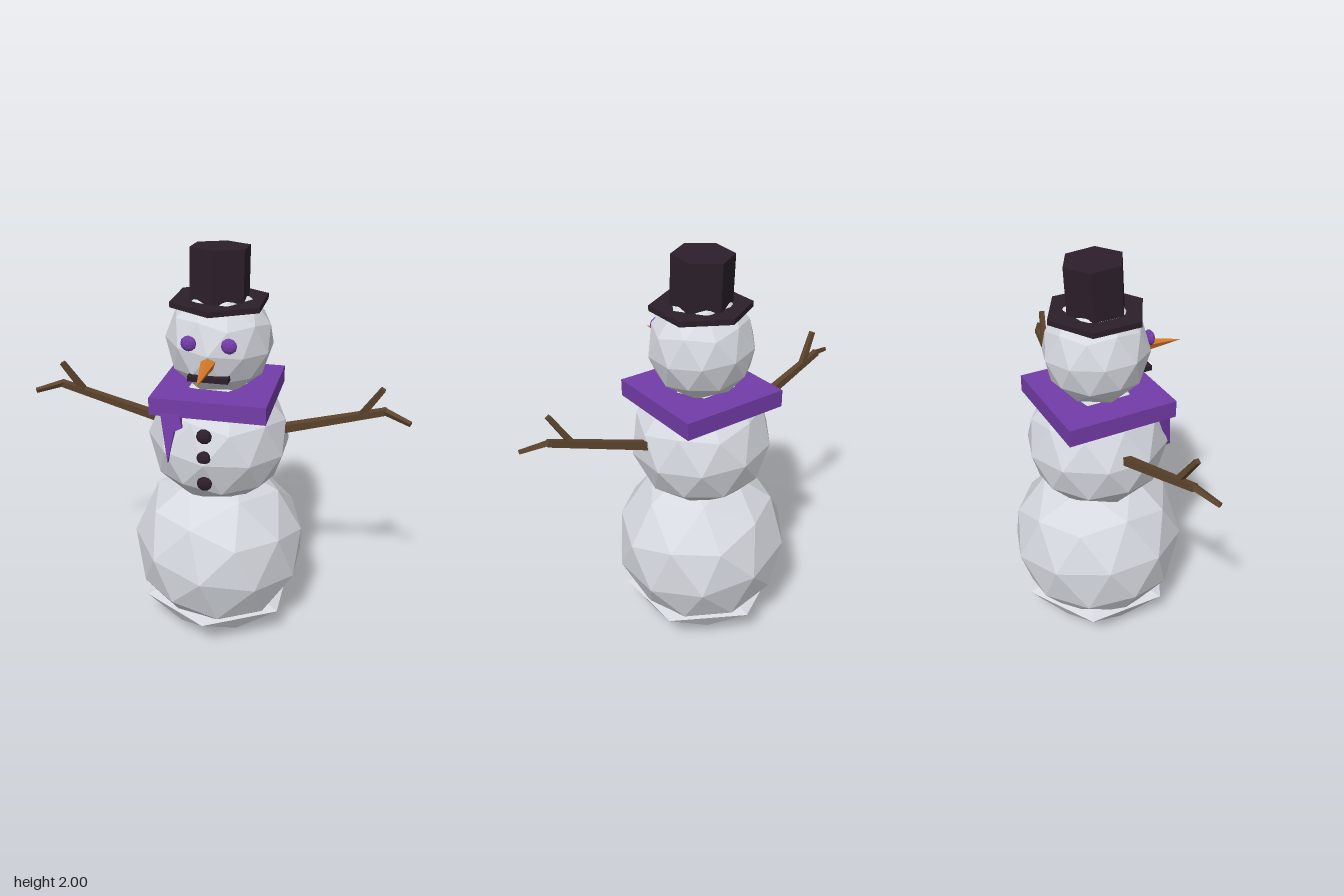
import * as THREE from 'three';

const mat = (name, color) => {
  const m = new THREE.MeshStandardMaterial({ color });
  m.name = name;
  return m;
};

// Faceted normals for the low-poly look
const flat = (geo) => {
  const g = geo.index ? geo.toNonIndexed() : geo;
  g.computeVertexNormals();
  return g;
};

// Icosphere with a corner at the top
const ball = (r, ry, rz, tilt = 0) => {
  const g = new THREE.IcosahedronGeometry(1, 1);
  g.rotateX(-Math.atan((1 + Math.sqrt(5)) / 2)).rotateY(Math.PI / 2).rotateZ(tilt);
  return flat(g.scale(r, ry, rz));
};

// Four-sided tapered stick between two points
const stick = (a, b, r0, r1) => {
  const from = new THREE.Vector3(...a), to = new THREE.Vector3(...b);
  const dir = to.clone().sub(from);
  const g = new THREE.CylinderGeometry(r1, r0, dir.length(), 4);
  g.rotateY(Math.PI / 4);
  g.applyQuaternion(new THREE.Quaternion().setFromUnitVectors(new THREE.Vector3(0, 1, 0), dir.normalize()));
  const c = from.add(to).multiplyScalar(0.5);
  return flat(g.translate(c.x, c.y, c.z));
};

export function createModel() {
  const model = new THREE.Group();
  model.name = 'snowman';
  const snow = mat('snow', 0xd6d9e0);
  const black = mat('charcoal', 0x2c1f2b);
  const purple = mat('purple', 0x733ca8);
  const orange = mat('orange', 0xd87a2c);
  const wood = mat('wood', 0x5c442d);

  const add = (name, geo, material, x = 0, y = 0, z = 0, parent = model) => {
    const m = new THREE.Mesh(geo, material);
    m.name = name;
    m.position.set(x, y, z);
    parent.add(m);
    return m;
  };

  // Snow mound: faceted bowl whose lower ring is turned half a side
  const mound = new THREE.LatheGeometry(
    [[0, 0.005], [0.29, 0.08], [0.4, 0.18], [0.31, 0.205], [0, 0.21]].map((p) => new THREE.Vector2(...p)), 6);
  const mp = mound.attributes.position;
  for (let i = 0; i <= 6; i++) {
    const a = (i - 0.5) * Math.PI / 3;
    mp.setXYZ(i * 5 + 1, Math.sin(a) * 0.29, 0.08, Math.cos(a) * 0.29);
  }
  add('snowMound', flat(mound), snow, 0, 0, -0.01);

  // Body
  add('lowerBody', ball(0.443, 0.443, 0.443, -0.2), snow, 0, 0.455, -0.01);
  add('upperBody', ball(0.35, 0.325, 0.35, -0.1), snow, 0, 1.06, -0.01);
  add('head', ball(0.258, 0.255, 0.255, -0.1), snow, 0, 1.555, -0.015);

  // Hat
  add('hatBrim', flat(new THREE.CylinderGeometry(0.24, 0.24, 0.026, 6)), black, 0, 1.745, -0.013);
  const crown = add('hatCrown', flat(new THREE.CylinderGeometry(0.145, 0.145, 0.26, 6)), black, 0, 1.862, -0.02);
  crown.rotation.x = -0.06;

  // Face
  for (const s of [1, -1]) {
    add(s > 0 ? 'leftEye' : 'rightEye', ball(0.037, 0.037, 0.02), purple, s * 0.093, 1.605, 0.215);
  }
  const nose = new THREE.ConeGeometry(0.042, 0.27, 5);
  nose.rotateY(Math.PI).rotateX(Math.PI / 2 + 0.1);
  add('nose', flat(nose), orange, 0, 1.51, 0.315);
  add('mouth', new THREE.BoxGeometry(0.19, 0.025, 0.06), black, -0.003, 1.442, 0.202);

  // Scarf with a hanging tail
  add('scarf', new THREE.BoxGeometry(0.55, 0.085, 0.55), purple, 0, 1.303, -0.01);
  const tail = new THREE.Shape(
    [[-0.22, 0.01], [-0.18, -0.23], [-0.16, -0.12], [-0.152, -0.075], [-0.115, -0.055], [-0.13, 0.01]]
      .map((p) => new THREE.Vector2(...p)));
  const tailMesh = add('scarfTail',
    new THREE.ExtrudeGeometry(tail, { depth: 0.04, bevelEnabled: false }), purple, 0, 1.26, 0.228);
  tailMesh.rotation.x = -0.16;

  // Buttons
  [[1.2, 0.315], [1.09, 0.316], [0.955, 0.313]].forEach(([y, z], i) => {
    add('button' + (i + 1), ball(0.037, 0.037, 0.024), black, 0, y, z);
  });

  // Branch arms with two twigs each
  for (const s of [1, -1]) {
    const arm = new THREE.Group();
    arm.name = s > 0 ? 'leftArm' : 'rightArm';
    model.add(arm);
    const part = (name, a, b, r0, r1) =>
      add(name, stick([a[0] * s, a[1], a[2]], [b[0] * s, b[1], b[2]], r0, r1), wood, 0, 0, 0, arm);
    part('branch', [0.26, 1.108, -0.022], [0.8, 1.283, 0.034], 0.029, 0.021);
    part('upperTwig', [0.69, 1.255, 0.022], [0.777, 1.398, 0.052], 0.02, 0.016);
    part('outerTwig', [0.78, 1.285, 0.03], [0.913, 1.252, 0.087], 0.018, 0.013);
  }
  return model;
}
